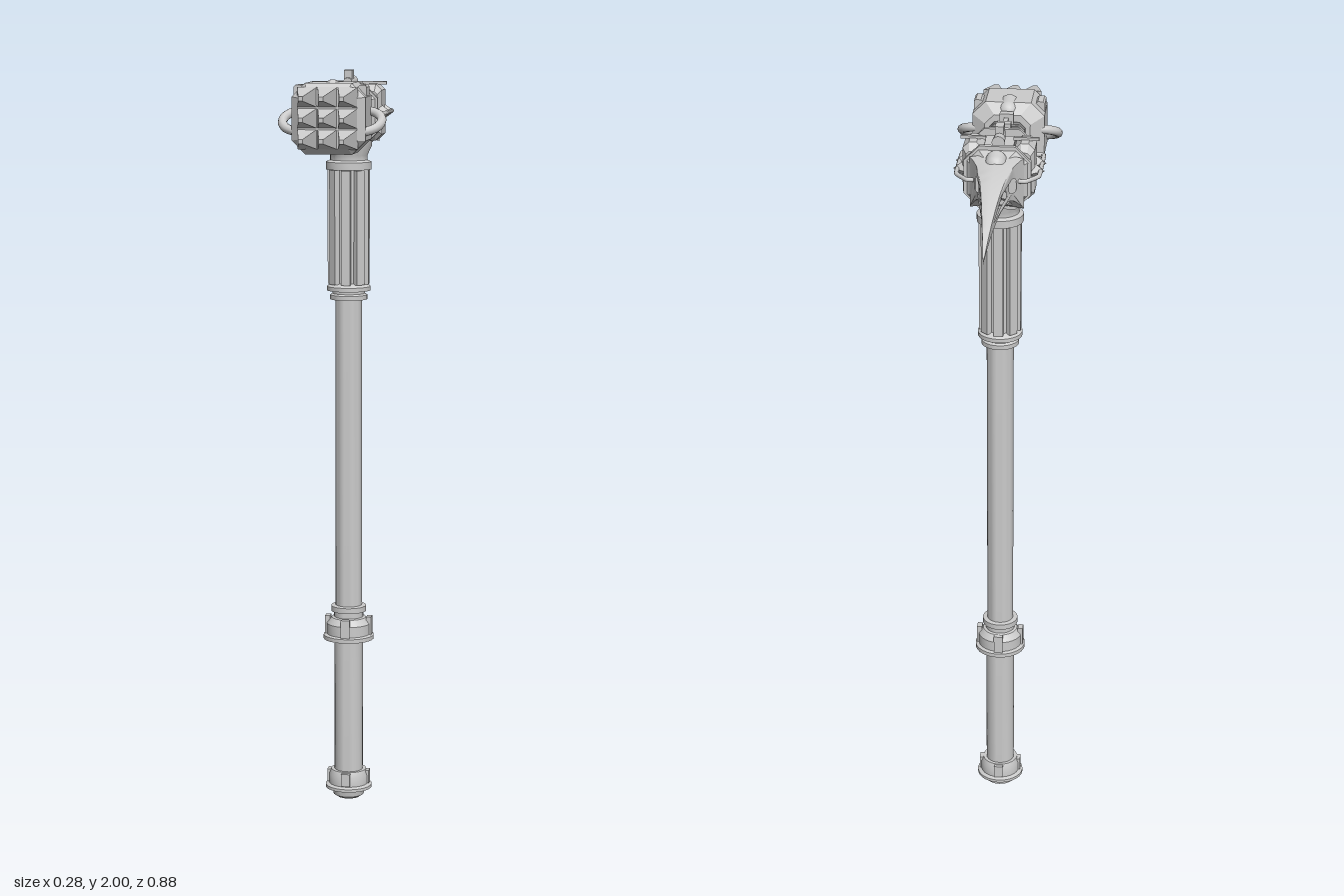
import * as THREE from 'three';
import { toCreasedNormals } from 'three/addons/utils/BufferGeometryUtils.js';

const smooth = new THREE.MeshStandardMaterial({ color: 0xcccccc });
const flat = new THREE.MeshStandardMaterial({ color: 0xcccccc, flatShading: true });

function add(parent, name, geometry, x = 0, y = 0, z = 0, material = smooth) {
  const mesh = new THREE.Mesh(geometry, material);
  mesh.name = name;
  mesh.position.set(x, y, z);
  parent.add(mesh);
  return mesh;
}
const box = (w, h, d) => new THREE.BoxGeometry(w, h, d);

// Turned part from [radius, y] pairs, bottom to top
function turned(pairs) {
  const pts = pairs.map(([r, y]) => new THREE.Vector2(r, y));
  return toCreasedNormals(new THREE.LatheGeometry(pts, 28), 0.6);
}

// Chamfered-rectangle sections [z, halfWidth, halfHeight, centreY, chamfer], back to front
function loft(sections) {
  const rings = sections.map(([z, w, h, cy, c]) => [
    [w, -h + c], [w, h - c], [w - c, h], [-w + c, h],
    [-w, h - c], [-w, -h + c], [-w + c, -h], [w - c, -h],
  ].map(([x, y]) => [x, y + cy, z]));
  const pos = [];
  const tri = (a, b, c) => pos.push(...a, ...b, ...c);
  for (let i = 0; i < rings.length - 1; i++) {
    for (let j = 0; j < 8; j++) {
      const k = (j + 1) % 8, p = rings[i], q = rings[i + 1];
      tri(p[j], p[k], q[k]);
      tri(p[j], q[k], q[j]);
    }
  }
  const first = rings[0], last = rings[rings.length - 1];
  for (let j = 1; j < 7; j++) {
    tri(first[0], first[j + 1], first[j]);
    tri(last[0], last[j], last[j + 1]);
  }
  const g = new THREE.BufferGeometry();
  g.setAttribute('position', new THREE.Float32BufferAttribute(pos, 3));
  g.computeVertexNormals();
  return g;
}

function buildStaff() {
  const staff = new THREE.Group();
  staff.name = 'staff';
  add(staff, 'pommel', turned([[0, 0], [0.03, 0], [0.042, 0.008], [0.045, 0.025], [0.064, 0.028],
    [0.064, 0.036], [0.054, 0.04], [0.054, 0.065], [0.048, 0.08], [0.036, 0.08]]));
  add(staff, 'lowerGrip', turned([[0.039, 0.07], [0.039, 0.46]]));
  add(staff, 'gripCollar', turned([[0.038, 0.452], [0.069, 0.452], [0.069, 0.463], [0.06, 0.466],
    [0.06, 0.495], [0.047, 0.512], [0.04, 0.514], [0.04, 0.528], [0.048, 0.53], [0.048, 0.545], [0.035, 0.547]]));
  add(staff, 'shaft', turned([[0.036, 0.5], [0.036, 1.41]]));
  add(staff, 'upperCollar', turned([[0.035, 1.39], [0.05, 1.39], [0.05, 1.402], [0.044, 1.406],
    [0.044, 1.412], [0.059, 1.414], [0.059, 1.425], [0.052, 1.43], [0.04, 1.435]]));
  add(staff, 'flutedCore', turned([[0.042, 1.42], [0.042, 1.75]]));
  add(staff, 'neck', turned([[0.045, 1.738], [0.061, 1.738], [0.061, 1.758], [0.05, 1.763],
    [0.05, 1.775], [0.062, 1.8], [0.062, 1.825], [0, 1.83]]));
  // Lugs on the collars and slats around the fluted section
  for (let i = 0; i < 8; i++) {
    const a = i * Math.PI / 4;
    const ring = new THREE.Group();
    ring.name = 'lugsAndSlats';
    ring.rotation.y = a;
    staff.add(ring);
    add(ring, 'slat', box(0.025, 0.305, 0.016), 0, 1.584, 0.047);
    if (i % 2 === 0) {
      add(ring, 'collarLug', box(0.024, 0.05, 0.014), 0, 0.49, 0.057);
      add(ring, 'pommelLug', box(0.024, 0.035, 0.012), 0, 0.06, 0.052);
    }
  }
  return staff;
}

function buildHammer() {
  const hammer = new THREE.Group();
  hammer.name = 'hammer';
  add(hammer, 'hammerBlock', loft([[0.195, 0.06, 0.06, 1.892, 0.025], [0.222, 0.095, 0.09, 1.888, 0.035],
    [0.328, 0.095, 0.09, 1.888, 0.035], [0.347, 0.076, 0.075, 1.888, 0.022]]), 0, 0, 0, flat);
  const boss = add(hammer, 'topBoss', new THREE.CapsuleGeometry(0.027, 0.036, 6, 20), 0, 1.956, 0.242);
  boss.rotation.x = Math.PI / 2 - 0.1;
  // Grid of blunt four-sided spikes
  for (const x of [-0.052, 0, 0.052]) {
    for (const row of [-1, 0, 1]) {
      const g = new THREE.CylinderGeometry(0.008, 0.036, 0.1, 4);
      g.rotateY(Math.PI / 4).rotateX(Math.PI / 2);
      add(hammer, 'spike', g, x, 1.89 + row * 0.053, 0.391, flat);
    }
  }
  for (const s of [-1, 1]) {
    const handle = add(hammer, 'sideRing', new THREE.TorusGeometry(0.052, 0.012, 10, 32), s * 0.076, 1.88, 0.272);
    handle.rotation.x = -1.07;
    add(hammer, 'shoulderBoss', loft([[-0.025, 0.012, 0.016, 0, 0.005], [0.025, 0.012, 0.016, 0, 0.005]]),
      s * 0.082, 1.956, 0.275, flat);
  }
  return hammer;
}

function buildNeck() {
  const link = new THREE.Group();
  link.name = 'link';
  add(link, 'linkCore', box(0.058, 0.075, 0.13), 0, 1.895, 0.142);
  for (let i = 0; i < 5; i++) {
    add(link, 'linkFin', loft([[-0.0035, 0.048, 0.042, 0, 0.015], [0.0035, 0.048, 0.042, 0, 0.015]]),
      0, 1.895, 0.118 + i * 0.016, flat);
  }
  add(link, 'linkRod', box(0.012, 0.02, 0.09), 0, 1.945, 0.142);
  for (const z of [0.105, 0.178]) add(link, 'linkCap', box(0.036, 0.03, 0.022), 0, 1.95, z);
  const arm = add(link, 'lowerArm', box(0.05, 0.022, 0.14), 0, 1.842, 0.15);
  arm.rotation.x = 0.1;
  return link;
}

function buildCore() {
  const core = new THREE.Group();
  core.name = 'headCore';
  add(core, 'coreBody', loft([[-0.112, 0.052, 0.06, 1.885, 0.025], [-0.078, 0.078, 0.075, 1.883, 0.03],
    [-0.062, 0.07, 0.062, 1.883, 0.03], [0.042, 0.07, 0.062, 1.883, 0.03], [0.058, 0.08, 0.074, 1.883, 0.03],
    [0.075, 0.066, 0.064, 1.885, 0.025], [0.116, 0.04, 0.05, 1.885, 0.015]]), 0, 0, 0, flat);
  for (const z of [-0.073, 0.053]) {
    add(core, 'coreBand', loft([[z - 0.006, 0.086, 0.084, 1.884, 0.04], [z + 0.006, 0.086, 0.084, 1.884, 0.04]]),
      0, 0, 0, flat);
  }
  // Top barrel between the side panels
  const barrel = add(core, 'topBarrel', new THREE.CylinderGeometry(0.017, 0.012, 0.075, 16), 0, 1.968, -0.015);
  barrel.rotation.x = -Math.PI / 2;
  add(core, 'topRib', box(0.022, 0.055, 0.035), 0, 1.9725, -0.005);
  add(core, 'topPlate', box(0.075, 0.025, 0.085), 0, 1.943, -0.01);
  const boss = add(core, 'rearBoss', new THREE.CapsuleGeometry(0.027, 0.016, 6, 20), 0, 1.938, -0.113);
  boss.rotation.x = Math.PI / 2 - 0.25;

  for (const s of [-1, 1]) {
    add(core, 'sidePanel', loft([[-0.058, 0.016, 0.055, 1.89, 0.008], [-0.042, 0.026, 0.074, 1.89, 0.016],
      [0.022, 0.026, 0.074, 1.89, 0.016], [0.04, 0.016, 0.055, 1.89, 0.008]]), s * 0.066, 0, 0, flat);
    add(core, 'topBar', box(0.065, 0.008, 0.008), s * 0.068, 1.966, -0.01);
    for (const z of [-0.035, 0.02]) {
      const stud = add(core, 'sideStud', new THREE.ConeGeometry(0.026, 0.034, 4), s * 0.1, 1.89, z, flat);
      stud.rotation.z = -s * Math.PI / 2;
    }
    // Guard pipe round the flank
    const path = new THREE.CatmullRomCurve3([[0.055, -0.112], [0.075, -0.112], [0.104, -0.075], [0.106, -0.05],
      [0.106, 0.06], [0.105, 0.078], [0.09, 0.08], [0.055, 0.08]]
      .map(([x, z]) => new THREE.Vector3(s * x, 1.89, z)), false, 'catmullrom', 0.2);
    add(core, 'guardPipe', new THREE.TubeGeometry(path, 48, 0.006, 8));
  }
  return core;
}

// Curved pick, pierced by two slots; width narrows along its length
function buildPick() {
  const outline = new THREE.Shape();
  outline.moveTo(0.09, 1.955);
  outline.bezierCurveTo(0.2, 1.945, 0.32, 1.9, 0.44, 1.797);
  outline.bezierCurveTo(0.35, 1.85, 0.25, 1.868, 0.18, 1.868);
  outline.quadraticCurveTo(0.13, 1.865, 0.09, 1.82);
  const slot = (p) => new THREE.Path(new THREE.CatmullRomCurve3(
    p.map(([x, y]) => new THREE.Vector3(x, y, 0)), true).getPoints(24).slice(0, -1));
  outline.holes.push(slot([[0.195, 1.887], [0.2, 1.908], [0.25, 1.894], [0.315, 1.864], [0.25, 1.879]]));
  outline.holes.push(slot([[0.125, 1.882], [0.13, 1.915], [0.17, 1.912], [0.165, 1.888]]));

  const g = new THREE.ExtrudeGeometry(outline, { depth: 2, steps: 2, bevelEnabled: false, curveSegments: 20 });
  g.translate(0, 0, -1).rotateY(Math.PI / 2);
  const p = g.attributes.position;
  for (let i = 0; i < p.count; i++) {
    const d = -p.getZ(i);
    const t = Math.max(0, (0.44 - d) / 0.35);
    const width = 0.045 * Math.pow(t, 1.05) + 0.024 * Math.pow(t, 7);
    const side = p.getX(i);
    p.setX(i, side * width);
    p.setY(i, p.getY(i) - Math.abs(side) * 0.012 * t);
  }
  const pick = new THREE.Group();
  pick.name = 'pick';
  add(pick, 'pickBlade', toCreasedNormals(g, 0.5));
  return pick;
}

export function createModel() {
  const model = new THREE.Group();
  model.name = 'warHammer';
  model.add(buildStaff(), buildHammer(), buildNeck(), buildCore(), buildPick());
  return model;
}
